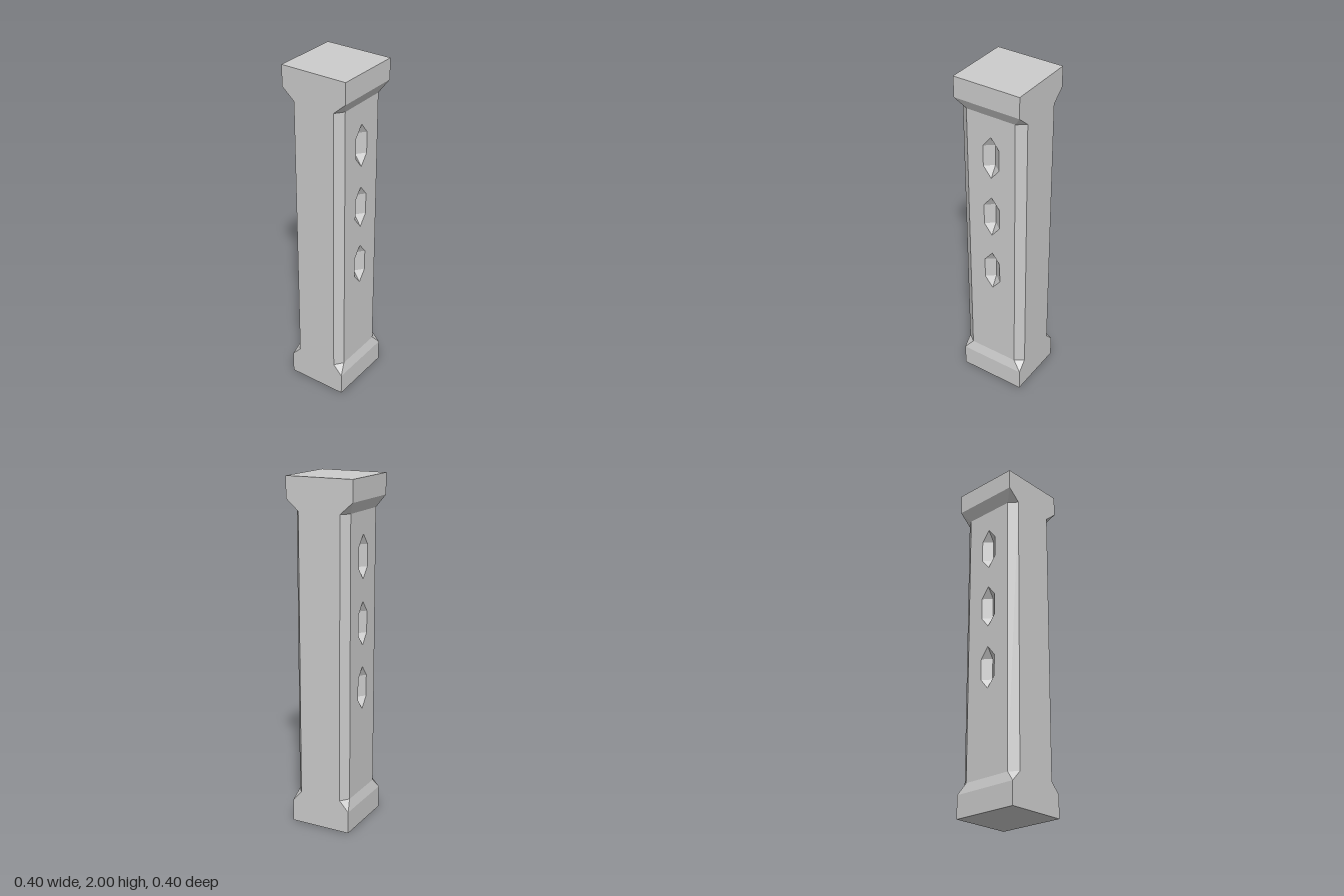
import * as THREE from 'three';

const material = new THREE.MeshStandardMaterial({ color: 0xcccccc, flatShading: true });

// Builds a mesh from polygons (arrays of Vector3, counter-clockwise from outside)
function facetMesh(name, polygons) {
  const points = [];
  const tri = new THREE.Triangle();
  for (const p of polygons) {
    for (let i = 1; i < p.length - 1; i++) {
      tri.set(p[0], p[i], p[i + 1]);
      if (tri.getArea() > 1e-8) points.push(p[0], p[i], p[i + 1]);
    }
  }
  const geometry = new THREE.BufferGeometry().setFromPoints(points);
  geometry.computeVertexNormals();
  const mesh = new THREE.Mesh(geometry, material);
  mesh.name = name;
  return mesh;
}

const V = (x, y, z) => new THREE.Vector3(x, y, z);
const DEPTH = 0.2;
const SHAFT = { side: 0.163, front: 0.125, z: 0.15, bottom: 0.19, top: 1.815 };

// Eight-point outline: front half-width f, side half-width s, side half-depth z
const ring = (y, s, f, z) => [
  V(-f, y, DEPTH), V(f, y, DEPTH), V(s, y, z), V(s, y, -z),
  V(f, y, -DEPTH), V(-f, y, -DEPTH), V(-s, y, -z), V(-s, y, z),
];

// Walls between two outlines, leaving out the listed sides
function walls(low, high, skip = []) {
  const faces = [];
  for (let i = 0; i < 8; i++) {
    const j = (i + 1) % 8;
    if (!skip.includes(i)) faces.push([low[i], low[j], high[j], high[i]]);
  }
  return faces;
}

// Side panel in its own plane, with pointed V-shaped recesses
function sidePanel() {
  const group = new THREE.Group();
  const w = 0.05, d = 0.04, tip = 0.125, shoulder = 0.062;
  const panel = new THREE.Shape([
    [-SHAFT.z, SHAFT.bottom], [SHAFT.z, SHAFT.bottom],
    [SHAFT.z, SHAFT.top], [-SHAFT.z, SHAFT.top],
  ].map(([x, y]) => new THREE.Vector2(x, y)));

  for (const y of [0.815, 1.19, 1.565]) {
    const T = V(0, y + tip, 0), B = V(0, y - tip, 0);
    const L1 = V(-w, y + shoulder, 0), L0 = V(-w, y - shoulder, 0);
    const R1 = V(w, y + shoulder, 0), R0 = V(w, y - shoulder, 0);
    const C1 = V(0, y + shoulder, -d), C0 = V(0, y - shoulder, -d);
    panel.holes.push(new THREE.Path([T, L1, L0, B, R0, R1].map(p => new THREE.Vector2(p.x, p.y))));
    group.add(facetMesh('recess', [
      [L0, C0, C1, L1], [C0, R0, R1, C1],
      [L1, C1, T], [C1, R1, T],
      [B, C0, L0], [B, R0, C0],
    ]));
  }
  const face = new THREE.Mesh(new THREE.ShapeGeometry(panel), material);
  face.name = 'panelFace';
  group.add(face);
  return group;
}

export function createModel() {
  const model = new THREE.Group();
  model.name = 'post';

  const base0 = ring(0, 0.18, 0.18, DEPTH);
  const base1 = ring(0.13, 0.18, 0.18, DEPTH);
  const shaft0 = ring(SHAFT.bottom, SHAFT.side, SHAFT.front, SHAFT.z);
  const shaft1 = ring(SHAFT.top, SHAFT.side, SHAFT.front, SHAFT.z);
  const cap0 = ring(1.88, 0.2, 0.2, DEPTH);
  const cap1 = ring(2, 0.2, 0.2, DEPTH);

  // Base, chamfered shaft and flared cap
  model.add(
    facetMesh('base', [[...base0].reverse(), ...walls(base0, base1), ...walls(base1, shaft0)]),
    facetMesh('shaft', walls(shaft0, shaft1, [2, 6])),
    facetMesh('cap', [...walls(shaft1, cap0), ...walls(cap0, cap1), cap1]),
  );

  // Recessed panels on both sides
  for (const side of [1, -1]) {
    const panel = sidePanel();
    panel.name = side > 0 ? 'leftPanel' : 'rightPanel';
    panel.position.x = side * SHAFT.side;
    panel.rotation.y = side * Math.PI / 2;
    model.add(panel);
  }
  return model;
}
